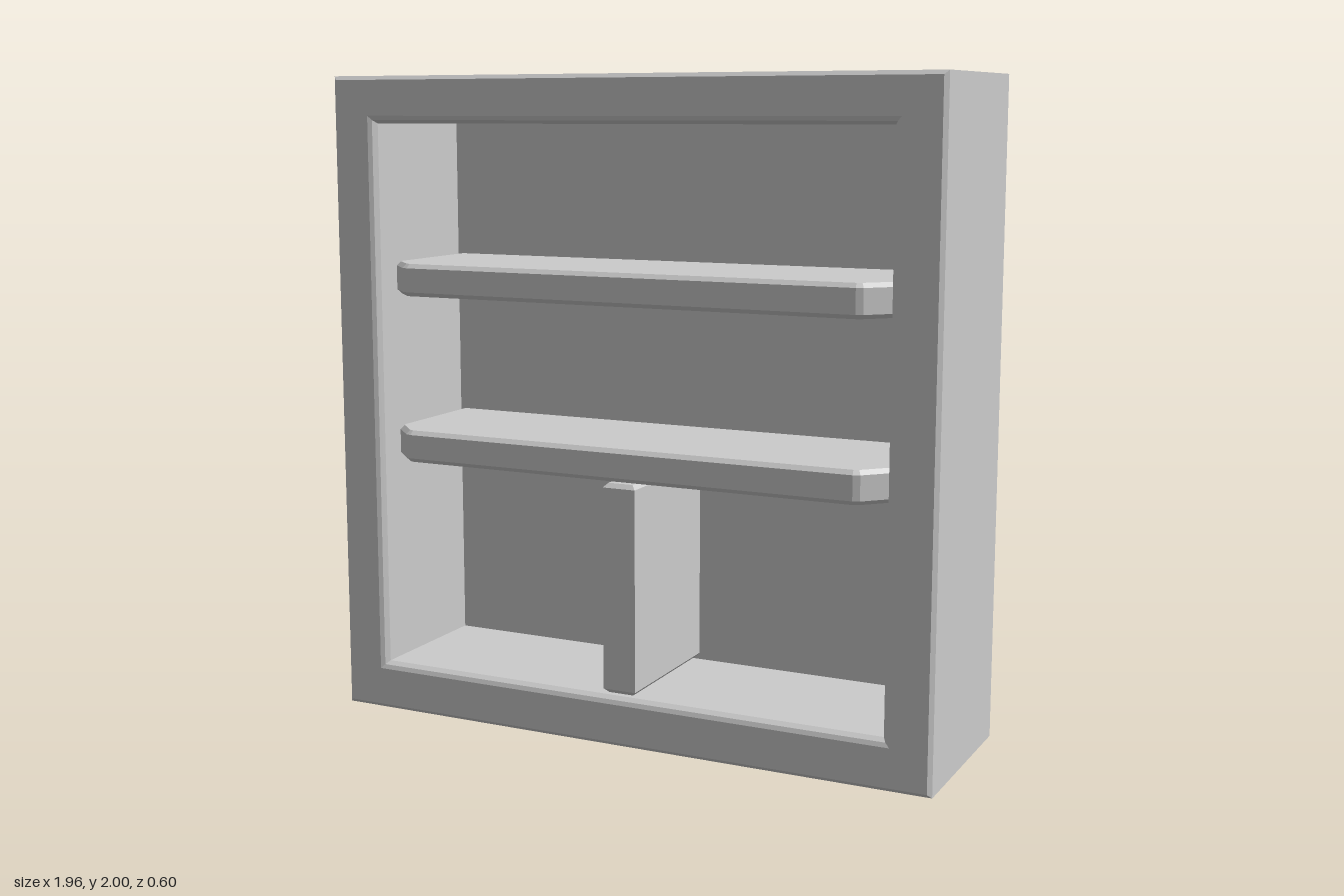
import * as THREE from 'three';

const material = new THREE.MeshStandardMaterial({ color: 0xcccccc, flatShading: true });

function addMesh(parent, geometry, name) {
  const mesh = new THREE.Mesh(geometry, material);
  mesh.name = name;
  parent.add(mesh);
  return mesh;
}

// Skins a series of rectangular rings [half width, bottom, top, z], capping both ends.
function ringShell(rings) {
  const positions = [];
  const index = [];
  for (const [w, y0, y1, z] of rings) {
    positions.push(-w, y0, z, w, y0, z, w, y1, z, -w, y1, z);
  }
  for (let r = 0; r < rings.length - 1; r++) {
    for (let i = 0; i < 4; i++) {
      const a = r * 4 + i;
      const b = r * 4 + (i + 1) % 4;
      index.push(a, b, b + 4, a, b + 4, a + 4);
    }
  }
  const e = (rings.length - 1) * 4;
  index.push(0, 2, 1, 0, 3, 2, e, e + 1, e + 2, e, e + 2, e + 3);
  const geometry = new THREE.BufferGeometry();
  geometry.setAttribute('position', new THREE.Float32BufferAttribute(positions, 3));
  geometry.setIndex(index);
  const flat = geometry.toNonIndexed();
  flat.computeVertexNormals();
  return flat;
}

// Extrudes an outline to a total height, with chamfers kept inside that size.
function chamferedSlab(points, height, chamfer) {
  const shape = new THREE.Shape(points.map(([x, y]) => new THREE.Vector2(x, y)));
  const geometry = new THREE.ExtrudeGeometry(shape, {
    depth: height - 2 * chamfer,
    bevelThickness: chamfer,
    bevelSize: chamfer,
    bevelOffset: -chamfer,
    bevelSegments: 1,
  });
  geometry.translate(0, 0, chamfer);
  geometry.rotateX(-Math.PI / 2);
  return geometry;
}

export function createModel() {
  const group = new THREE.Group();
  group.name = 'bookcase';
  const back = -0.17;

  // Case: outer box, chamfered front rim and recessed interior
  const c = 0.012;
  addMesh(group, ringShell([
    [0.98 - c, c, 2 - c, -0.3],
    [0.98, 0, 2, -0.3 + c],
    [0.98, 0, 2, 0.3 - c],
    [0.98 - c, c, 2 - c, 0.3],
    [0.855, 0.13, 1.88, 0.3],
    [0.842, 0.143, 1.867, 0.294],
    [0.832, 0.153, 1.857, 0.278],
    [0.832, 0.153, 1.857, back],
  ]), 'case');

  // Shelves with clipped front corners (outline y runs towards the back)
  const rightSide = [[0.73, -0.29], [0.75, -0.282], [0.82, -0.21], [0.828, -0.19], [0.828, -back + 0.015]];
  const leftSide = rightSide.map(([x, y]) => [-x, y]).reverse();
  const shelfOutline = [...rightSide, ...leftSide];
  for (const [y, name] of [[1.33, 'upperShelf'], [0.81, 'lowerShelf']]) {
    addMesh(group, chamferedSlab(shelfOutline, 0.1, 0.013), name).position.y = y;
  }

  // Divider standing under the lower shelf
  const d = 0.053;
  const dividerOutline = [[-d, -0.29], [d, -0.29], [d, -back + 0.015], [-d, -back + 0.015]];
  addMesh(group, chamferedSlab(dividerOutline, 0.645, 0.013), 'divider').position.y = 0.16;

  return group;
}
